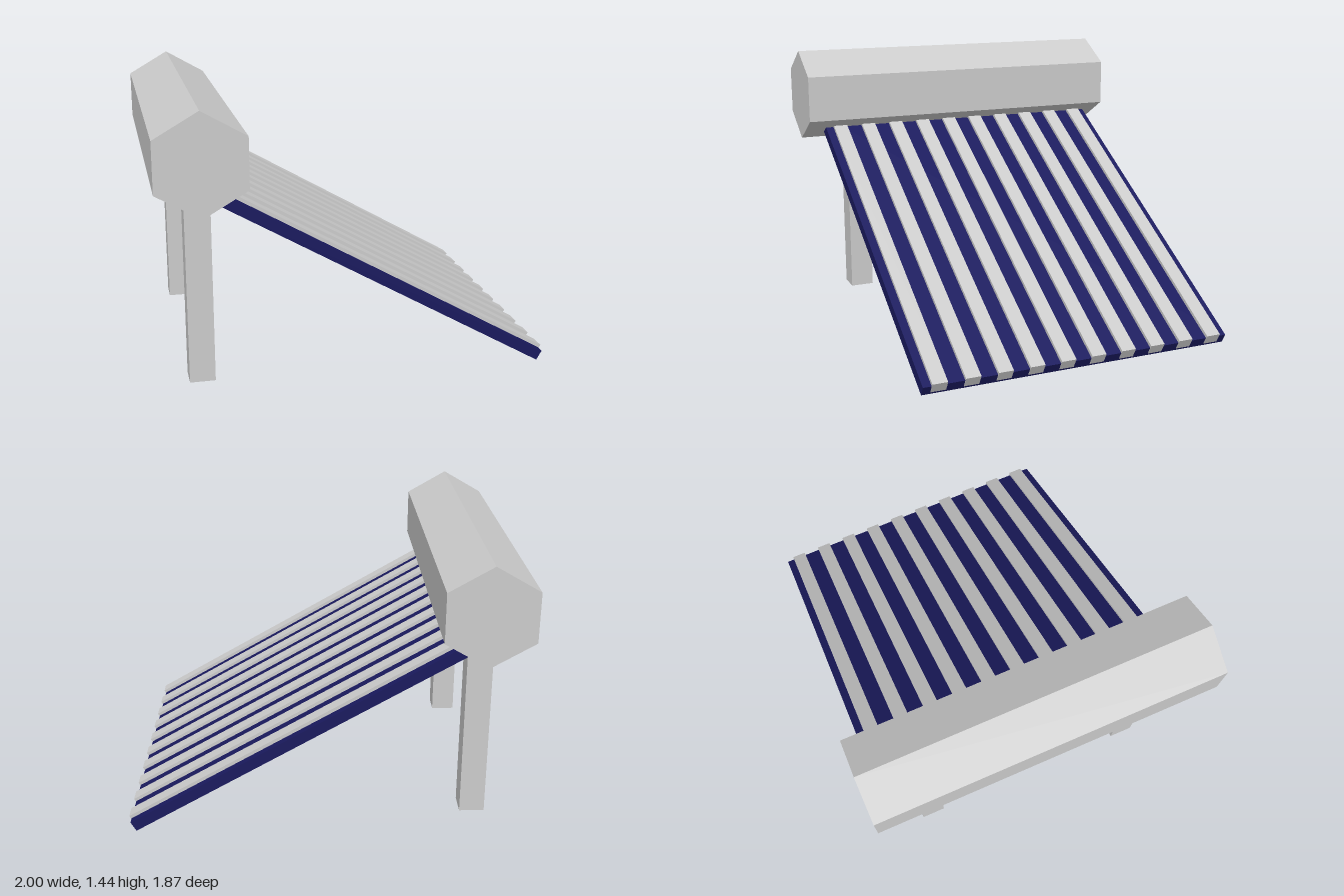
import * as THREE from 'three';

const grey = new THREE.MeshStandardMaterial({ color: 0xcccccc, flatShading: true });
const blue = new THREE.MeshStandardMaterial({ color: 0x1a1a5e, flatShading: true });

function addMesh(parent, name, geometry, material, x, y, z) {
  const mesh = new THREE.Mesh(geometry, material);
  mesh.name = name;
  mesh.position.set(x, y, z);
  parent.add(mesh);
  return mesh;
}

export function createModel() {
  const model = new THREE.Group();
  model.name = 'solarWaterHeater';
  const tankX = -0.78, tankY = 1.185;

  // Hexagonal tank lying along z, with a corner at top and bottom
  const tank = new THREE.CylinderGeometry(0.254, 0.254, 1.87, 6).rotateX(Math.PI / 2);
  addMesh(model, 'tank', tank, grey, tankX, tankY, 0);

  // Two square legs, running up into the tank
  const legHeight = 1.05;
  for (const side of [-1, 1]) {
    const leg = new THREE.BoxGeometry(0.13, legHeight, 0.13);
    addMesh(model, side > 0 ? 'frontLeg' : 'backLeg', leg, grey, tankX, legHeight / 2, side * 0.615);
  }

  // Collector sloping down 30 degrees, pivoted at its lower bottom edge
  const collector = new THREE.Group();
  collector.name = 'collector';
  collector.position.set(0.96, 0.006, 0);
  collector.rotation.z = -Math.PI / 6;
  model.add(collector);

  const length = 2.01;
  addMesh(collector, 'panel', new THREE.BoxGeometry(length, 0.056, 1.675), blue, -length / 2, 0.028, -0.018);

  // Ten tubes half sunk in the panel, ending just past its lower edge
  const tube = new THREE.BoxGeometry(length, 0.058, 0.078);
  for (let i = 0; i < 10; i++) {
    addMesh(collector, `tube${i + 1}`, tube, grey, 0.003 - length / 2, 0.044, -0.775 + i * 0.168);
  }

  return model;
}
